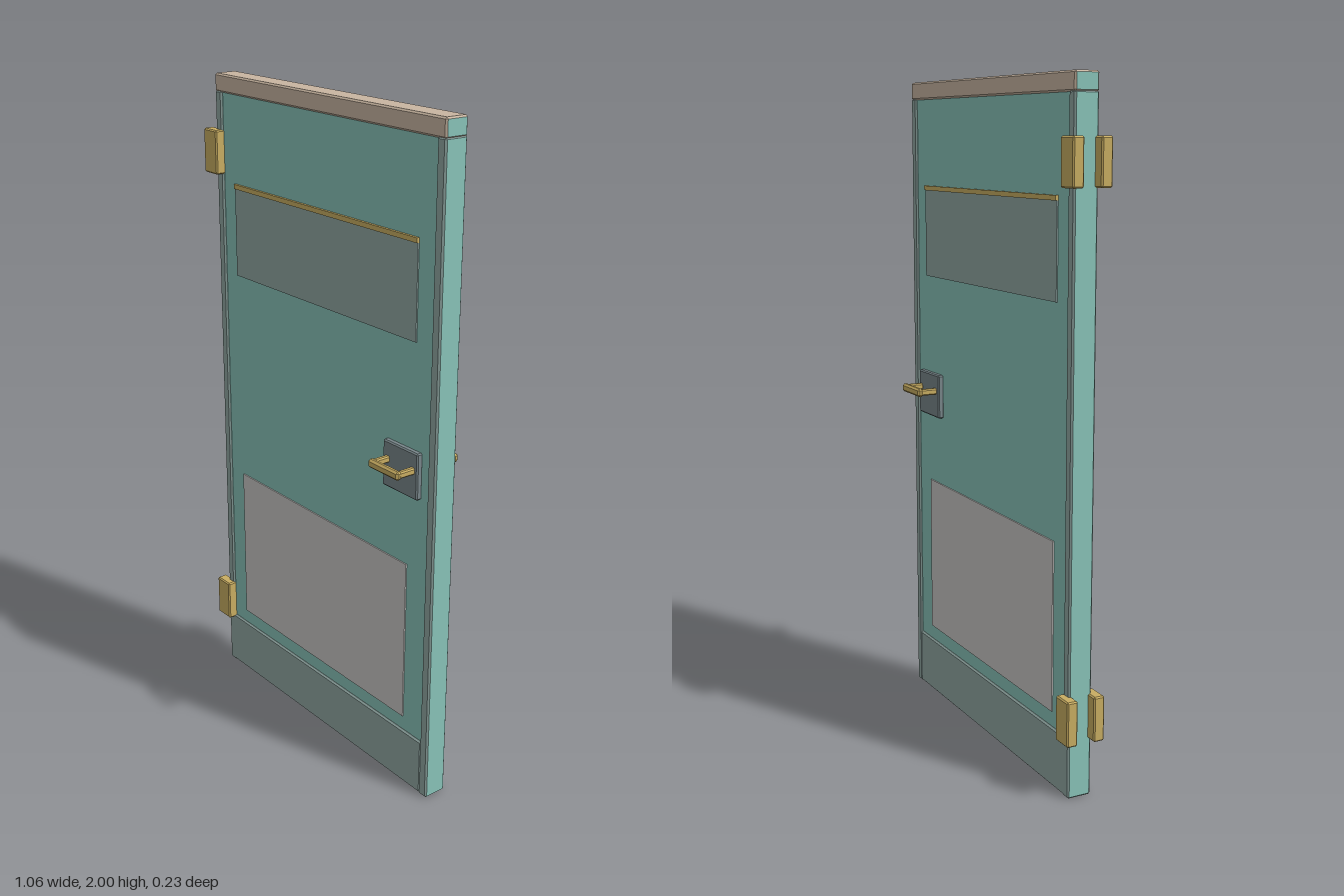
import * as THREE from 'three';
import { ConvexGeometry } from 'three/addons/geometries/ConvexGeometry.js';

const paint = (name, color) => {
  const m = new THREE.MeshStandardMaterial({ color });
  m.name = name;
  return m;
};

// Box between two corners with every edge chamfered by c
function chamferBox(x0, x1, y0, y1, z0, z1, c) {
  const size = [x1 - x0, y1 - y0, z1 - z0];
  const mid = [(x0 + x1) / 2, (y0 + y1) / 2, (z0 + z1) / 2];
  const points = [];
  for (const sx of [-1, 1]) for (const sy of [-1, 1]) for (const sz of [-1, 1]) {
    const s = [sx, sy, sz];
    for (let full = 0; full < 3; full++) {
      const p = s.map((k, i) => mid[i] + k * (size[i] / 2 - (i === full ? 0 : c)));
      points.push(new THREE.Vector3(...p));
    }
  }
  return new ConvexGeometry(points);
}

// One material group per triangle, chosen from its normal
function groupByNormal(geometry, pick) {
  const n = geometry.attributes.normal;
  for (let i = 0; i < n.count; i += 3) {
    geometry.addGroup(i, 3, pick(n.getX(i), n.getY(i), n.getZ(i)));
  }
  return geometry;
}

export function createModel() {
  const door = new THREE.Group();
  door.name = 'door';
  const teal = paint('teal paint', 0x88c2b8);
  const grey = paint('grey trim', 0x90a6a2);
  const beige = paint('beige cap', 0xc8b5a1);
  const pale = paint('pale panel', 0xc8c6c4);
  const brass = paint('brass', 0xc8ad62);
  const slate = paint('slate plate', 0x78868a);

  const add = (name, geometry, material, parent = door) => {
    const mesh = new THREE.Mesh(geometry, material);
    mesh.name = name;
    parent.add(mesh);
    return mesh;
  };
  const box = (name, x0, x1, y0, y1, z0, z1, material) => {
    const g = new THREE.BoxGeometry(x1 - x0, y1 - y0, z1 - z0);
    g.translate((x0 + x1) / 2, (y0 + y1) / 2, (z0 + z1) / 2);
    return add(name, g, material);
  };

  // Door leaf, slightly recessed inside its trim
  box('leaf', -0.48, 0.51, 0.02, 1.98, -0.031, 0.031, teal);

  // Trim: painted teal on the outer sides and underneath
  const trim = (name, x0, x1, y0, y1, face) => {
    const g = chamferBox(x0, x1, y0, y1, -0.037, 0.037, 0.005);
    groupByNormal(g, (x, y) => (Math.abs(x) > 0.9 || y < -0.9 ? 1 : 0));
    add(name, g, [face, teal]);
  };
  trim('hingeStile', -0.5, -0.468, 0, 1.95, grey);
  trim('latchStile', 0.495, 0.528, 0, 1.95, grey);
  trim('bottomRail', -0.498, 0.5, 0.002, 0.18, grey);
  trim('topCap', -0.5, 0.528, 1.946, 2, beige);

  for (const s of [1, -1]) {
    const side = s > 0 ? 'front' : 'back';
    const z = (a, b) => (s > 0 ? [a, b] : [-b, -a]);

    // Upper and lower inset panels, with a brass strip on the upper one
    box(side + 'UpperPanel', -0.408, 0.432, 1.397, 1.667, ...z(0.028, 0.035), grey);
    box(side + 'UpperStrip', -0.408, 0.432, 1.667, 1.681, ...z(0.028, 0.039), brass);
    box(side + 'LowerPanel', -0.4, 0.413, 0.226, 0.73, ...z(0.028, 0.035), pale);

    // Hinge blocks
    for (const [label, y] of [['Lower', 0.172], ['Upper', 1.702]]) {
      add(side + label + 'Hinge',
        chamferBox(-0.534, -0.467, y, y + 0.133, ...z(0.026, 0.06), 0.004), brass);
    }

    // Handle plate with a bar on two posts
    const handle = new THREE.Group();
    handle.name = side + 'Handle';
    door.add(handle);
    add('handlePlate', chamferBox(0.319, 0.466, 0.95, 1.089, ...z(0.028, 0.048), 0.004), slate, handle);
    add('handleBar', chamferBox(0.33, 0.458, 1.023, 1.049, ...z(0.094, 0.113), 0.006), brass, handle);
    for (const x of [0.332, 0.439]) {
      add('handlePost', chamferBox(x, x + 0.017, 1.026, 1.046, ...z(0.045, 0.105), 0.004), brass, handle);
    }
  }
  return door;
}
